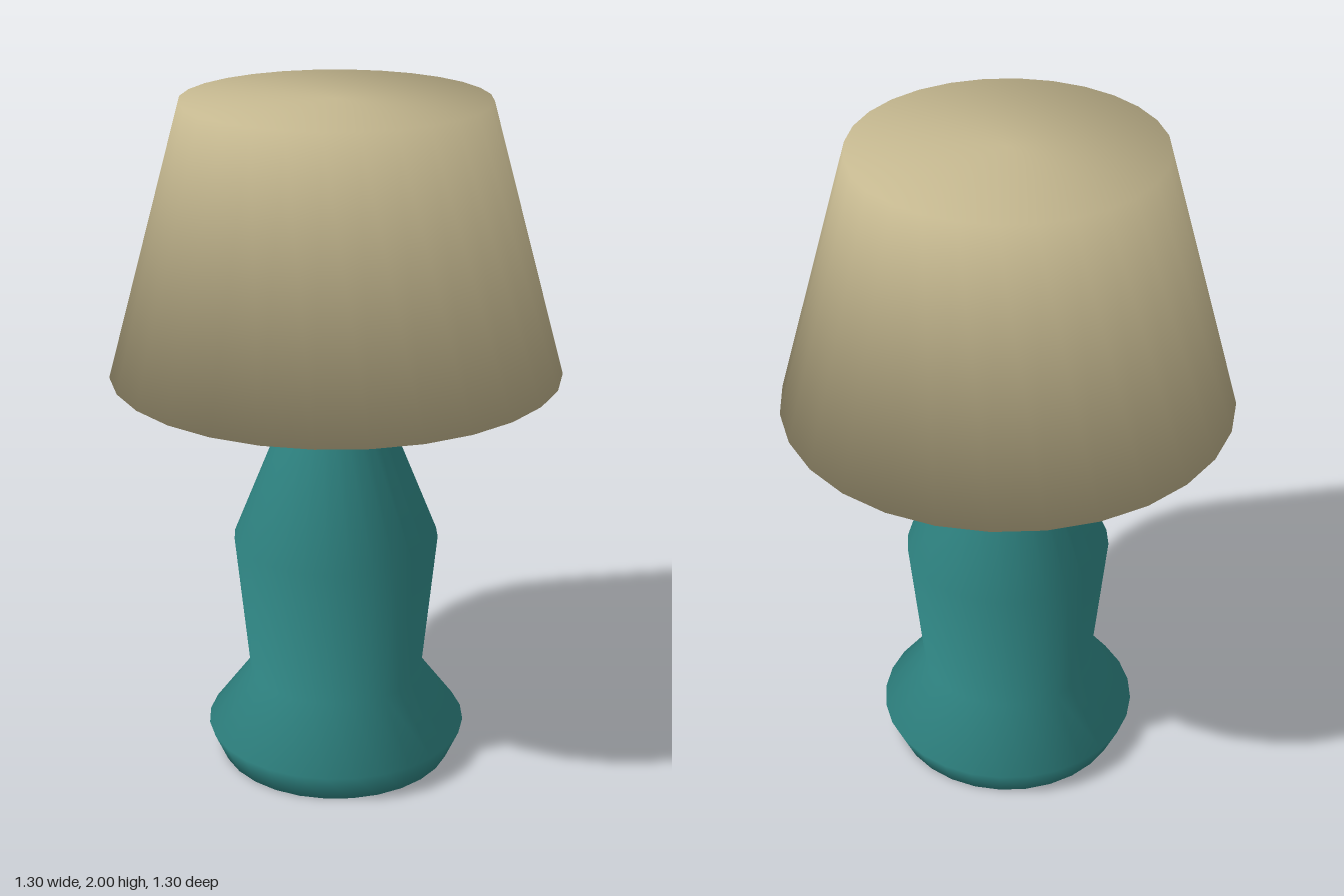
import * as THREE from 'three';

const SIDES = 28;

// Closed turned solid; normals are averaged across every edge, caps included
function turned(name, profile, color) {
  const pts = profile.map(([r, y]) => new THREE.Vector2(r, y));
  const geo = new THREE.LatheGeometry(pts, SIDES);

  // Outward unit normal of each profile segment
  const segs = pts.slice(1).map((p, i) => {
    const d = p.clone().sub(pts[i]);
    return new THREE.Vector2(d.y, -d.x).normalize();
  });
  const normals = pts.map((_, j) => {
    const a = segs[Math.max(j - 1, 0)];
    const b = segs[Math.min(j, segs.length - 1)];
    return a.clone().add(b).normalize();
  });

  const attr = geo.attributes.normal;
  for (let i = 0; i <= SIDES; i++) {
    const phi = (i / SIDES) * Math.PI * 2;
    normals.forEach((n, j) => {
      attr.setXYZ(i * pts.length + j, n.x * Math.sin(phi), n.y, n.x * Math.cos(phi));
    });
  }

  const mesh = new THREE.Mesh(geo, new THREE.MeshStandardMaterial({ color }));
  mesh.name = name;
  return mesh;
}

export function createModel() {
  const lamp = new THREE.Group();
  lamp.name = 'tableLamp';

  // Faceted vase-like body with a flared foot; its neck ends inside the shade
  lamp.add(turned('base', [
    [0, 0], [0.35, 0], [0.39, 0.09], [0.26, 0.265],
    [0.303, 0.7], [0.127, 1.14], [0.1, 1.26], [0, 1.26],
  ], 0x2f8583));

  // Closed tapered shade
  lamp.add(turned('shade', [
    [0, 1.222], [0.65, 1.222], [0.434, 2], [0, 2],
  ], 0xc4b78f));

  return lamp;
}
